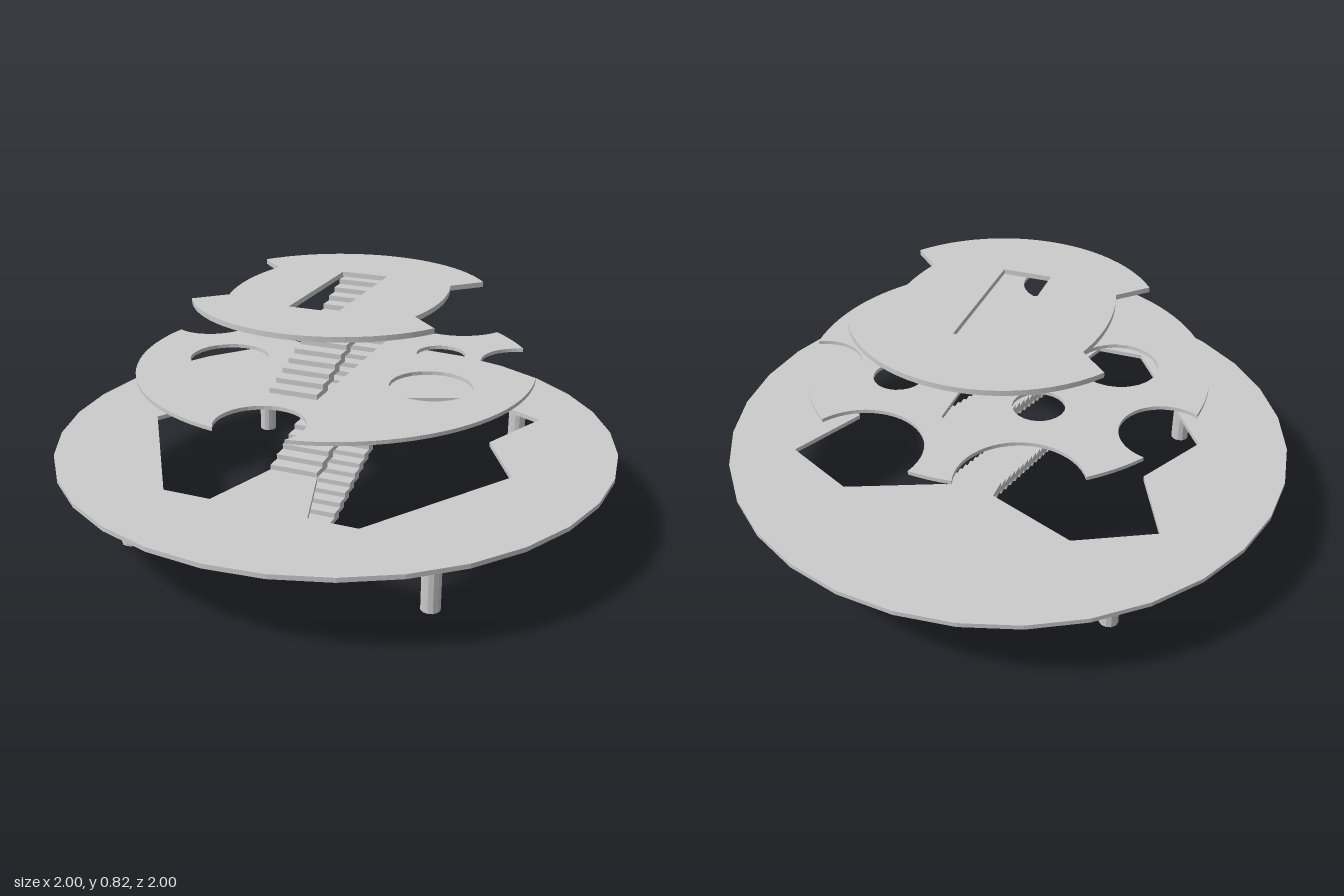
import * as THREE from 'three';

const material = new THREE.MeshStandardMaterial({ color: 0xcccccc, flatShading: true });

function addMesh(parent, name, geometry, x = 0, y = 0, z = 0) {
  const mesh = new THREE.Mesh(geometry, material);
  mesh.name = name;
  mesh.position.set(x, y, z);
  parent.add(mesh);
  return mesh;
}

// Plans are drawn as (x, -z) and extruded upwards from y0 to y1
function slab(parent, name, shape, y0, y1, curveSegments) {
  const geometry = new THREE.ExtrudeGeometry(shape, { depth: y1 - y0, bevelEnabled: false, curveSegments });
  geometry.rotateX(-Math.PI / 2);
  addMesh(parent, name, geometry, 0, y0, 0);
}

const polygon = (points) => new THREE.Path(points.map(([x, z]) => new THREE.Vector2(x, -z)));
const mirrored = (half) => [...half, ...half.map(([x, z]) => [-x, z]).reverse()];
const circle = (x, z, r) => new THREE.Path().absarc(x, -z, r, 0, Math.PI * 2, true);
const stairSlot = (zBack, zFront) =>
  polygon(mirrored([[0.087, zBack], [0.087, zFront]]));

// Disc outline with round bites taken out of the rim, listed counter-clockwise
function bittenDisc(R, bites) {
  const shape = new THREE.Shape();
  const cuts = bites.map(([x, z, r]) => {
    const D = Math.hypot(x, z);
    const t = Math.atan2(-z, x);
    const h = Math.acos((R * R + D * D - r * r) / (2 * R * D));
    return { x, y: -z, r, from: t - h, to: t + h };
  });
  cuts.forEach((c, i) => {
    const angle = (a) => Math.atan2(R * Math.sin(a) - c.y, R * Math.cos(a) - c.x);
    shape.absarc(c.x, c.y, c.r, angle(c.from), angle(c.to), true);
    shape.absarc(0, 0, R, c.to, cuts[(i + 1) % cuts.length].from, false);
  });
  return shape;
}

// Straight flight of overlapping treads rising towards the back
function flight(parent, name, y0, y1, zFront, zBack, count) {
  const group = new THREE.Group();
  group.name = name;
  const depth = 0.09, rise = (y1 - y0) / count;
  const run = (zFront - zBack - depth) / (count - 1);
  const tread = new THREE.BoxGeometry(0.17, rise, depth);
  for (let i = 0; i < count; i++) {
    addMesh(group, 'tread', tread, 0, y0 + (i + 0.5) * rise, zFront - depth / 2 - i * run);
  }
  parent.add(group);
}

export function createModel() {
  const model = new THREE.Group();
  model.name = 'tieredPlatform';

  // Lower platform with an angular opening and a landing tongue
  const lower = new THREE.Shape().absarc(0, 0, 1, 0, Math.PI * 2, false);
  lower.holes.push(polygon(mirrored([
    [0.085, -0.4], [0.4, -0.53], [0.66, -0.4], [0.54, -0.13],
    [0.68, 0.12], [0.34, 0.64], [0.17, 0.64], [0.085, 0.37],
  ])));
  slab(model, 'lowerPlatform', lower, 0.281, 0.297, 16);

  // Middle platform with bitten rim and round openings
  const middle = bittenDisc(0.7, [
    [0, 0.61, 0.145],
    [0.62, -0.24, 0.152], [0.265, -0.635, 0.203],
    [-0.265, -0.635, 0.203], [-0.62, -0.24, 0.152],
  ]);
  middle.holes.push(
    circle(0.385, 0.103, 0.14), circle(-0.37, 0.103, 0.14),
    circle(0.32, -0.22, 0.088), circle(-0.19, -0.23, 0.088),
    stairSlot(-0.4, 0.2),
  );
  slab(model, 'middlePlatform', middle, 0.56, 0.573, 12);

  // Upper platform, set back slightly, with a wide recess on each side
  const R = 0.52, cy = 0.05, a = Math.asin(0.29 / R);
  const upper = new THREE.Shape();
  upper.absarc(0, cy, R, a, Math.PI - a, false);
  upper.lineTo(-0.337, cy + 0.198);
  upper.quadraticCurveTo(-0.391, cy, -0.337, cy - 0.198);
  upper.absarc(0, cy, R, Math.PI + a, 2 * Math.PI - a, false);
  upper.lineTo(0.337, cy - 0.198);
  upper.quadraticCurveTo(0.391, cy, 0.337, cy + 0.198);
  upper.closePath();
  upper.holes.push(stairSlot(-0.28, 0.2));
  slab(model, 'upperPlatform', upper, 0.803, 0.821, 12);

  // Stairs
  flight(model, 'lowerStairs', 0, 0.281, 0.41, -0.4, 16);
  flight(model, 'middleStairs', 0.297, 0.562, 0.37, -0.4, 15);
  flight(model, 'upperStairs', 0.573, 0.803, 0.365, -0.33, 13);

  // Legs
  const leg = new THREE.CylinderGeometry(0.033, 0.033, 0.275, 12);
  for (const x of [-0.545, 0.545]) {
    for (const z of [-0.545, 0.545]) addMesh(model, 'leg', leg, x, 0.1475, z);
  }
  return model;
}
